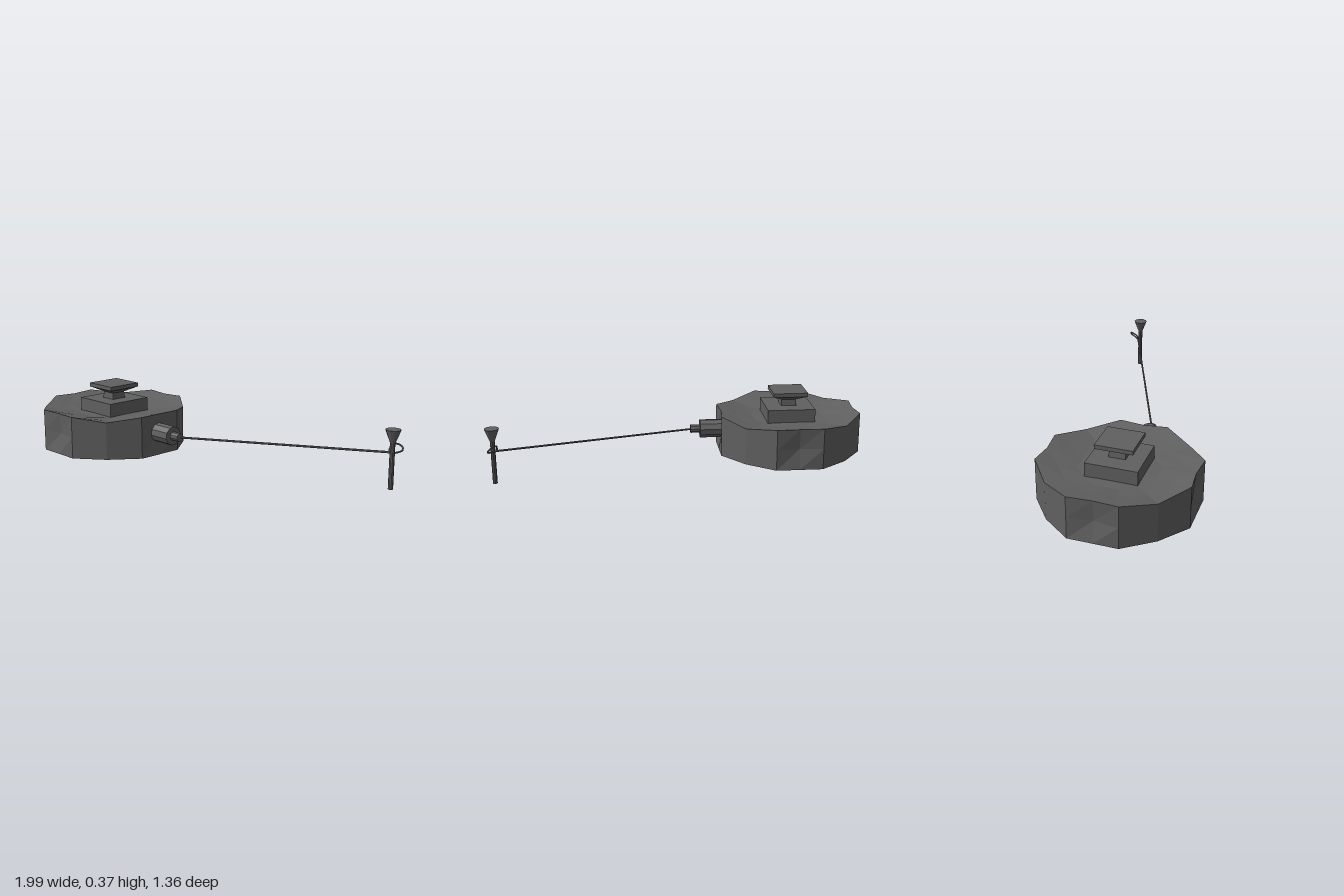
import * as THREE from 'three';

const steel = new THREE.MeshStandardMaterial({ color: 0x606060 });
steel.name = 'dark steel';

// Gives a geometry hard facets
function faceted(geometry) {
  const g = geometry.index ? geometry.toNonIndexed() : geometry;
  g.computeVertexNormals();
  return g;
}

function addPart(parent, name, geometry, x = 0, y = 0, z = 0) {
  const mesh = new THREE.Mesh(geometry, steel);
  mesh.name = name;
  mesh.position.set(x, y, z);
  parent.add(mesh);
  return mesh;
}

// Skins a stack of equally long rings, ordered from the bottom to the top
function loft(rings) {
  const n = rings[0].length;
  const positions = [];
  for (let r = 0; r < rings.length - 1; r++) {
    for (let i = 0; i < n; i++) {
      const j = (i + 1) % n;
      const a = rings[r][i], b = rings[r + 1][i], c = rings[r + 1][j], d = rings[r][j];
      positions.push(...a, ...b, ...d, ...d, ...b, ...c);
    }
  }
  const g = new THREE.BufferGeometry();
  g.setAttribute('position', new THREE.Float32BufferAttribute(positions, 3));
  return faceted(g);
}

// One ring of the casing: each quarter has an axis, shoulder, diagonal and shoulder point
function casingRing(scale, yAxis, yShoulder, yDiagonal, diagonal) {
  const ring = [];
  for (let q = 0; q < 4; q++) {
    const c = [1, 0, -1, 0][q], s = [0, 1, 0, -1][q];
    const quarter = [[0.415, 0, yAxis], [0.388, 0.198, yShoulder],
      [diagonal, diagonal, yDiagonal], [0.198, 0.388, yShoulder]];
    for (const [x, z, y] of quarter) {
      ring.push([(x * c - z * s) * scale, y, (x * s + z * c) * scale]);
    }
  }
  return ring;
}

// Cylinder running between two points
function rod(parent, name, from, to, radius, sides) {
  const direction = to.clone().sub(from);
  const g = faceted(new THREE.CylinderGeometry(radius, radius, direction.length(), sides));
  const mesh = addPart(parent, name, g);
  mesh.position.copy(from).add(to).multiplyScalar(0.5);
  mesh.quaternion.setFromUnitVectors(new THREE.Vector3(0, 1, 0), direction.normalize());
  return mesh;
}

export function createModel() {
  const model = new THREE.Group();
  model.name = 'tripwireDevice';
  const V = (x, y, z) => new THREE.Vector3(x, y, z);

  // Round casing with dented diagonal sides and a dished, wavy top
  const device = new THREE.Group();
  device.name = 'device';
  device.position.set(-0.585, 0, -0.265);
  model.add(device);
  addPart(device, 'casing', loft([
    casingRing(0, 0.01, 0.01, 0.01, 0.293),
    casingRing(1, 0.01, 0.01, 0.01, 0.293),
    casingRing(1, 0.13, 0.13, 0.13, 0.278),
    casingRing(1, 0.225, 0.25, 0.247, 0.284),
    casingRing(0.74, 0.212, 0.225, 0.228, 0.293),
    casingRing(0.5, 0.205, 0.208, 0.208, 0.293),
    casingRing(0, 0.205, 0.205, 0.205, 0.293),
  ]));

  // Square pressure plate: base, neck, flare and top slab, turned with corners on the axes
  const squares = [
    ['plateBase', 0.2, 0.2, 0.19, 0.283],
    ['plateNeck', 0.06, 0.065, 0.283, 0.32],
    ['plateFlare', 0.143, 0.06, 0.32, 0.35],
    ['plateTop', 0.145, 0.145, 0.35, 0.373],
  ];
  for (const [name, top, bottom, y0, y1] of squares) {
    addPart(device, name, faceted(new THREE.CylinderGeometry(top, bottom, y1 - y0, 4)), 0, (y0 + y1) / 2, 0);
  }

  // Fuse socket on the front left diagonal
  rod(model, 'fuseSocket', V(-0.32, 0.14, 0), V(-0.21, 0.14, 0.11), 0.055, 10);
  rod(model, 'fuseTip', V(-0.215, 0.14, 0.105), V(-0.17, 0.14, 0.15), 0.025, 10);

  // Trip wire and the loop that ties it to the stake
  rod(model, 'tripWire', V(-0.175, 0.14, 0.14), V(0.92, 0.19, 0.615), 0.006, 6);
  const loop = new THREE.CatmullRomCurve3([
    V(0.915, 0.19, 0.615), V(0.955, 0.19, 0.617), V(0.987, 0.203, 0.602),
    V(0.975, 0.222, 0.589), V(0.942, 0.229, 0.588), V(0.918, 0.212, 0.608),
  ], true);
  addPart(model, 'wireLoop', faceted(new THREE.TubeGeometry(loop, 14, 0.005, 5, true)));

  // Stake with a flared head
  addPart(model, 'stakeShaft', faceted(new THREE.CylinderGeometry(0.0135, 0.0135, 0.25, 10)), 0.925, 0.125, 0.635);
  addPart(model, 'stakeHead', faceted(new THREE.CylinderGeometry(0.041, 0.014, 0.07, 10)), 0.925, 0.28, 0.635);

  return model;
}
